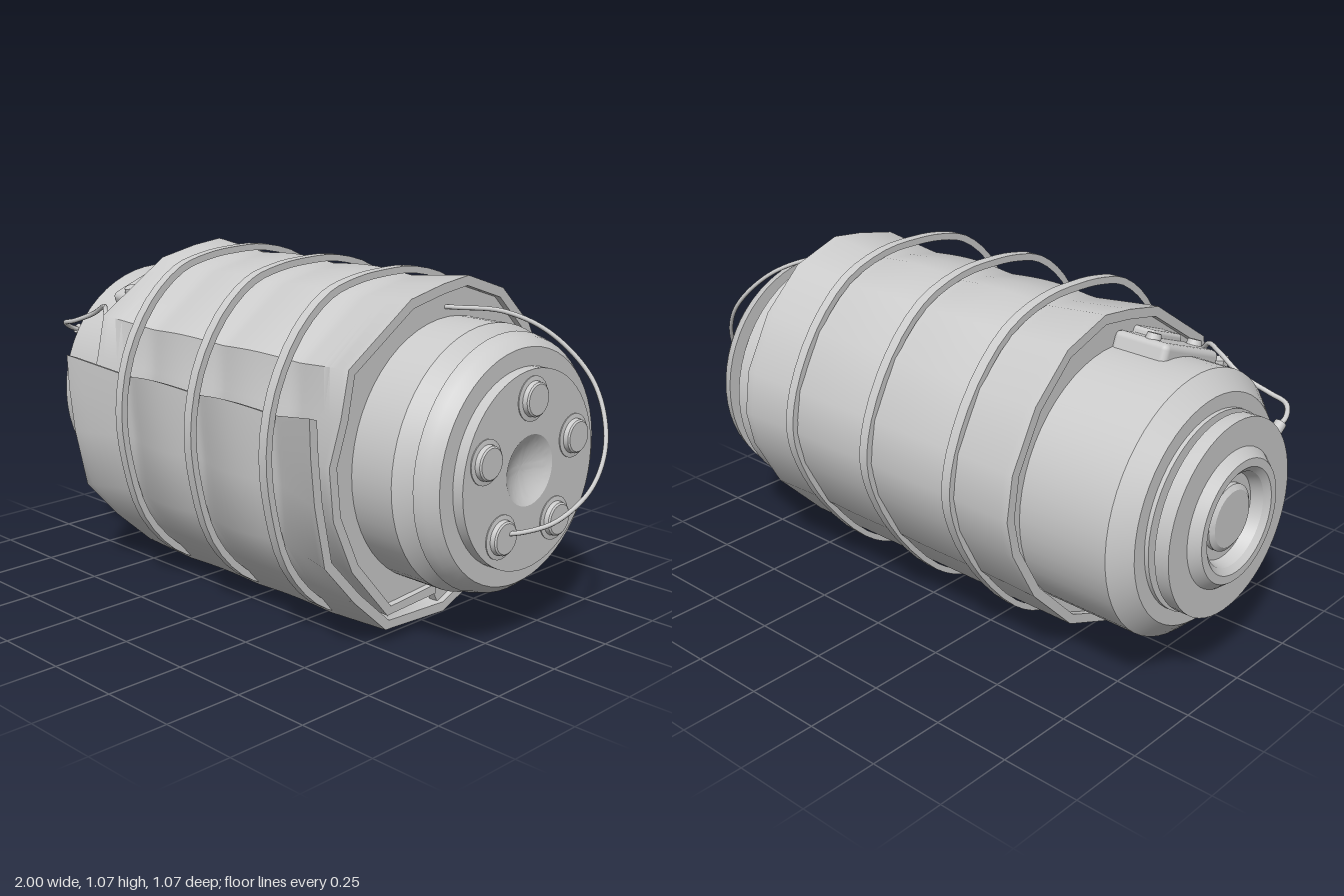
import * as THREE from 'three';
import { toCreasedNormals } from 'three/addons/utils/BufferGeometryUtils.js';
import { RoundedBoxGeometry } from 'three/addons/geometries/RoundedBoxGeometry.js';

const CY = 0.55, CZ = -0.055; // axis of the canister, running along x
const grey = new THREE.MeshStandardMaterial({ color: 0xcccccc });
const greyDouble = new THREE.MeshStandardMaterial({ color: 0xcccccc, side: THREE.DoubleSide });

function add(parent, name, geometry, material = grey) {
  const mesh = new THREE.Mesh(geometry, material);
  mesh.name = name;
  parent.add(mesh);
  return mesh;
}

// Lathe about the x axis from [radius, x] pairs, left to right
function turned(profile, segments = 56) {
  const pts = profile.map(([r, x]) => new THREE.Vector2(r, x));
  return toCreasedNormals(new THREE.LatheGeometry(pts, segments).rotateZ(-Math.PI / 2), 0.45);
}

// Extrude an outline of [z, y] pairs along x
function slab(outline, depth, hole) {
  const flat = (o) => o.map(([z, y]) => new THREE.Vector2(-z, y));
  const shape = new THREE.Shape(flat(outline));
  if (hole) shape.holes.push(new THREE.Path(flat(hole)));
  const geo = new THREE.ExtrudeGeometry(shape, { depth, bevelEnabled: false });
  return toCreasedNormals(geo.translate(0, 0, -depth / 2).rotateY(Math.PI / 2), 0.5);
}

const shrink = (pts, s) => pts.map(([z, y]) => [CZ + (z - CZ) * s, CY + (y - CY) * s]);

// Spiral section of the cloth, [z, y], from the tucked end to the free flap
const spiral = [
  [-0.005, 0.108], [0.21, 0.097], [0.36, 0.27], [0.437, 0.44], [0.454, 0.597], [0.41, 0.726],
  [0.38, 0.863], [0.13, 1.026], [-0.01, 1.054], [-0.12, 1.066], [-0.283, 1.01], [-0.417, 0.883],
  [-0.51, 0.71], [-0.53, 0.575], [-0.505, 0.46], [-0.41, 0.29], [-0.24, 0.12], [-0.04, 0.04],
  [0.217, 0.054], [0.35, 0.175], [0.47, 0.31], [0.51, 0.5], [0.525, 0.64], [0.53, 0.754],
];
// How strongly the straps pull in each point of the spiral
const pull = [0, 0.01, 0.03, 0.05, 0.055, 0.05, 0.035, 0.025, 0.025, 0.025, 0.015, 0.01,
  0.01, 0.01, 0.01, 0.005, 0, -0.012, -0.01, 0.015, 0.045, 0.07, 0.075, 0.08];

// Cinch amount along the length: 0 at the open ends, 1 under a strap
function cinch(x) {
  const a = Math.abs(x);
  if (a > 0.33) return Math.max(0, (0.55 - a) / 0.22);
  return 1 - 0.45 * Math.sin((a / 0.33) * Math.PI);
}

function clothGeometry() {
  const thick = 0.03, nx = 40, n = spiral.length;
  const pos = [], index = [];
  for (let j = 0; j <= nx; j++) {
    const x = -0.56 + (1.11 * j) / nx, c = cinch(x);
    const ring = (i, inset) => {
      const [z, y] = spiral[i];
      const r = Math.hypot(z - CZ, y - CY), s = (r - pull[i] * c - inset) / r;
      const droop = i > n - 3 ? -0.02 * c : 0;
      pos.push(x, CY + (y - CY) * s + droop, CZ + (z - CZ) * s);
    };
    for (let i = 0; i < n; i++) ring(i, 0);
    for (let i = n - 1; i >= 0; i--) ring(i, thick);
  }
  const m = 2 * n;
  for (let j = 0; j < nx; j++) for (let i = 0; i < m; i++) {
    const a = j * m + i, b = j * m + ((i + 1) % m);
    index.push(a, a + m, b, b, a + m, b + m);
  }
  // rims at both ends
  for (let i = 0; i < n - 1; i++) {
    const o = i, o2 = i + 1, p = m - 1 - i, p2 = m - 2 - i, e = nx * m;
    index.push(e + p, e + p2, e + o, e + o, e + p2, e + o2);
    index.push(p, o, p2, o, o2, p2);
  }
  const geo = new THREE.BufferGeometry();
  geo.setAttribute('position', new THREE.Float32BufferAttribute(pos, 3));
  geo.setIndex(index);
  return toCreasedNormals(geo, 0.8);
}

function wire(points, radius) {
  const curve = new THREE.CatmullRomCurve3(points.map((p) => new THREE.Vector3(...p)));
  return new THREE.TubeGeometry(curve, 64, radius, 8);
}

export function createModel() {
  const model = new THREE.Group();
  model.name = 'wrappedCanister';

  // Canister body with stepped ends and a dished right face
  const canister = new THREE.Group();
  canister.name = 'canister';
  canister.position.set(0, CY, CZ);
  model.add(canister);
  const dish = [];
  for (let i = 0; i <= 8; i++) {
    const r = 0.105 * (1 - i / 8);
    dish.push([r, 0.81 + 0.035 * (r / 0.105) ** 2]);
  }
  add(canister, 'body', turned([
    [0, -0.975], [0.085, -0.975], [0.1, -0.965], [0.1, -0.95], [0.13, -0.95], [0.142, -0.985],
    [0.16, -1], [0.185, -1], [0.21, -0.97], [0.295, -0.97], [0.295, -0.925], [0.265, -0.925],
    [0.265, -0.908], [0.3, -0.908], [0.3, -0.895], [0.345, -0.895], [0.4, -0.84], [0.4, 0.68],
    [0.355, 0.73], [0.315, 0.73], [0.315, 0.745], [0.385, 0.745], [0.375, 0.78], [0.35, 0.81],
    [0.295, 0.81], [0.295, 0.845], ...dish,
  ]));

  // Five studs around the right face
  for (let i = 0; i < 5; i++) {
    const a = (i / 5) * Math.PI * 2;
    const stud = add(canister, 'stud', turned([
      [0.066, 0.83], [0.066, 0.848], [0.052, 0.85], [0.05, 0.864], [0.045, 0.868], [0, 0.868],
    ], 28));
    stud.position.set(0, 0.21 * Math.cos(a), 0.21 * Math.sin(a));
  }

  // Clamp plate tucked under the left edge of the cloth
  const clamp = new THREE.Group();
  clamp.name = 'clamp';
  clamp.rotation.x = 0.36;
  canister.add(clamp);
  add(clamp, 'clampPlate', new RoundedBoxGeometry(0.19, 0.08, 0.29, 2, 0.02)).position.set(-0.625, 0.385, 0);
  add(clamp, 'clampCover', new RoundedBoxGeometry(0.09, 0.06, 0.16, 2, 0.012)).position.set(-0.565, 0.415, 0.02);
  for (const z of [-0.11, 0.11]) {
    add(clamp, 'clampScrew', new THREE.CylinderGeometry(0.02, 0.024, 0.02, 16)).position.set(-0.645, 0.432, z);
  }

  // Cloth wrap with overlapping flap, and the packing that closes its ends
  add(model, 'clothWrap', clothGeometry(), greyDouble);
  const core = shrink(spiral.slice(0, 18), 0.965);
  for (const x of [-0.525, 0.515]) add(model, 'endPacking', slab(core, 0.03)).position.x = x;

  // Three straps around the cloth
  const strapPath = [
    [0.03, 1.075], [-0.12, 1.07], [-0.283, 1.016], [-0.42, 0.888], [-0.515, 0.71], [-0.537, 0.575],
    [-0.508, 0.455], [-0.412, 0.28], [-0.25, 0.1], [-0.126, 0.03], [0.03, 0.008], [0.16, 0.03],
    [0.3, 0.1], [0.42, 0.24], [0.48, 0.42], [0.5, 0.6], [0.465, 0.78], [0.37, 0.94], [0.25, 1.035],
    [0.14, 1.065],
  ];
  const loop = new THREE.CatmullRomCurve3(strapPath.map(([z, y]) => new THREE.Vector3(0, y, z)), true);
  const strapOuter = loop.getPoints(60).slice(0, 60).map((p) => [p.z, p.y]);
  const strap = slab(strapOuter, 0.032, shrink(strapOuter, 0.96));
  for (const x of [-0.335, 0, 0.33]) add(model, 'strap', strap).position.x = x;

  // Wire from the cloth to a stud at the right end
  add(model, 'rightWire', wire([
    [0.5, 0.98, -0.03], [0.56, 0.98, -0.06], [0.66, 0.97, -0.15], [0.77, 0.91, -0.23],
    [0.89, 0.78, -0.28], [0.97, 0.63, -0.24], [0.992, 0.51, -0.15], [0.96, 0.43, -0.03],
    [0.9, 0.4, 0.03], [0.86, 0.39, 0.055],
  ], 0.007));

  // Wire from the cloth to a small screw at the left end
  add(model, 'leftWire', wire([
    [-0.54, 0.8, 0.36], [-0.575, 0.835, 0.355], [-0.61, 0.865, 0.335], [-0.68, 0.865, 0.29],
    [-0.77, 0.825, 0.27], [-0.86, 0.79, 0.285], [-0.92, 0.775, 0.28], [-0.945, 0.75, 0.24],
    [-0.94, 0.73, 0.19],
  ], 0.008));
  const screw = add(model, 'wireScrew', new THREE.CylinderGeometry(0.018, 0.018, 0.06, 12));
  screw.position.set(-0.945, 0.725, 0.19);
  screw.rotation.x = 0.95;
  return model;
}
